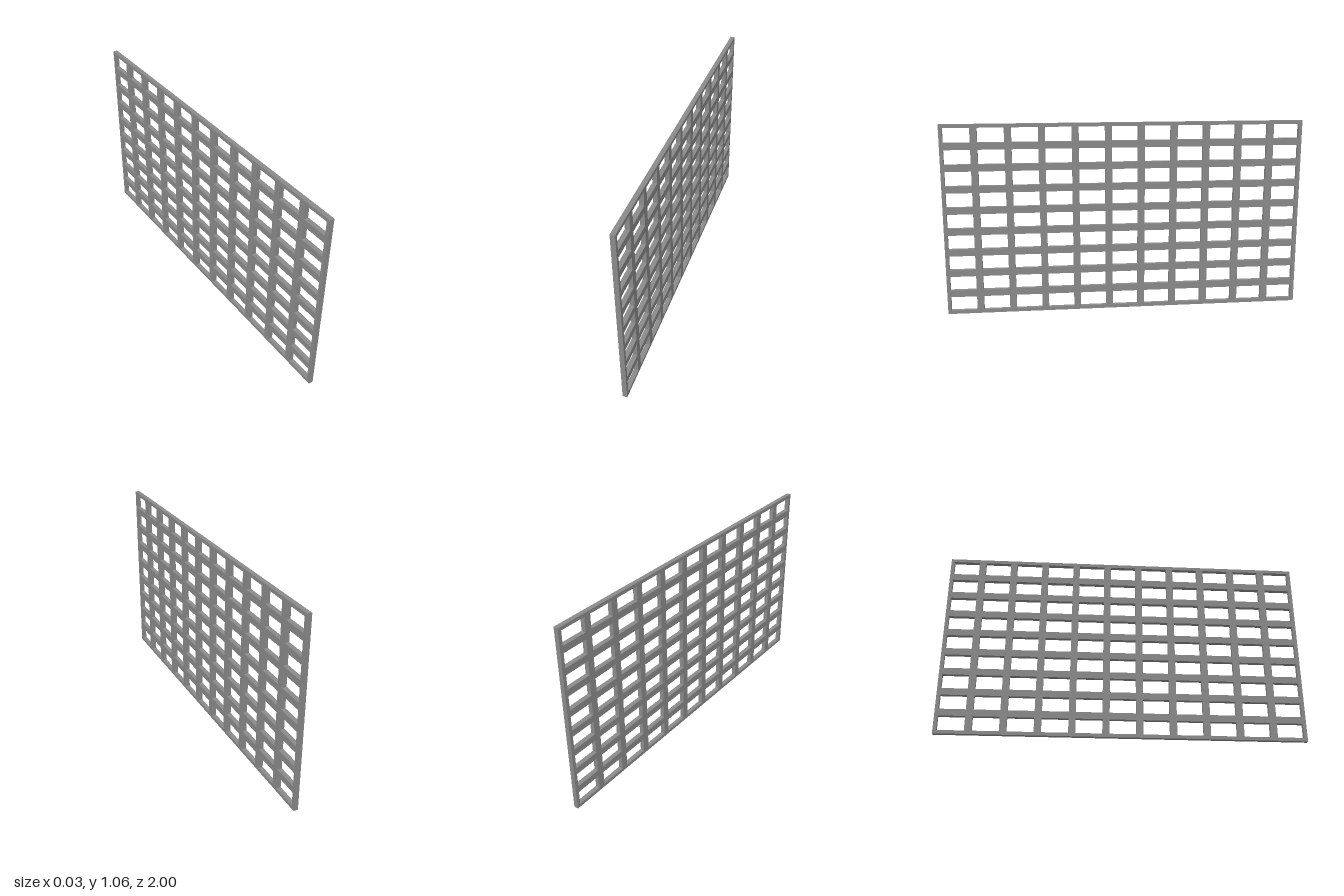
import * as THREE from 'three';

const LENGTH = 2, HEIGHT = 1.062, THICKNESS = 0.025, BAR = 0.038;
const COLUMNS = 11, ROWS = 9;

// Axis-aligned rectangle outline around a centre point
function rectangle(path, cx, cy, w, h) {
  path.moveTo(cx - w / 2, cy - h / 2);
  path.lineTo(cx + w / 2, cy - h / 2);
  path.lineTo(cx + w / 2, cy + h / 2);
  path.lineTo(cx - w / 2, cy + h / 2);
  path.closePath();
  return path;
}

export function createModel() {
  const group = new THREE.Group();
  group.name = 'latticePanel';

  // Flat panel pierced by equal openings, half a bar left along the border
  const panel = rectangle(new THREE.Shape(), 0, HEIGHT / 2, LENGTH, HEIGHT);
  const cellW = LENGTH / COLUMNS, cellH = HEIGHT / ROWS;
  for (let c = 0; c < COLUMNS; c++) {
    for (let r = 0; r < ROWS; r++) {
      const x = (c + 0.5) * cellW - LENGTH / 2;
      const y = (r + 0.5) * cellH;
      panel.holes.push(rectangle(new THREE.Path(), x, y, cellW - BAR, cellH - BAR));
    }
  }

  // Extruded to thickness and turned so its length runs front to back
  const geometry = new THREE.ExtrudeGeometry(panel, { depth: THICKNESS, bevelEnabled: false });
  geometry.translate(0, 0, -THICKNESS / 2);
  geometry.rotateY(Math.PI / 2);

  // Dark grey lattice
  const lattice = new THREE.Mesh(geometry, new THREE.MeshStandardMaterial({ color: 0x8a8a8a }));
  lattice.name = 'lattice';
  group.add(lattice);
  return group;
}
